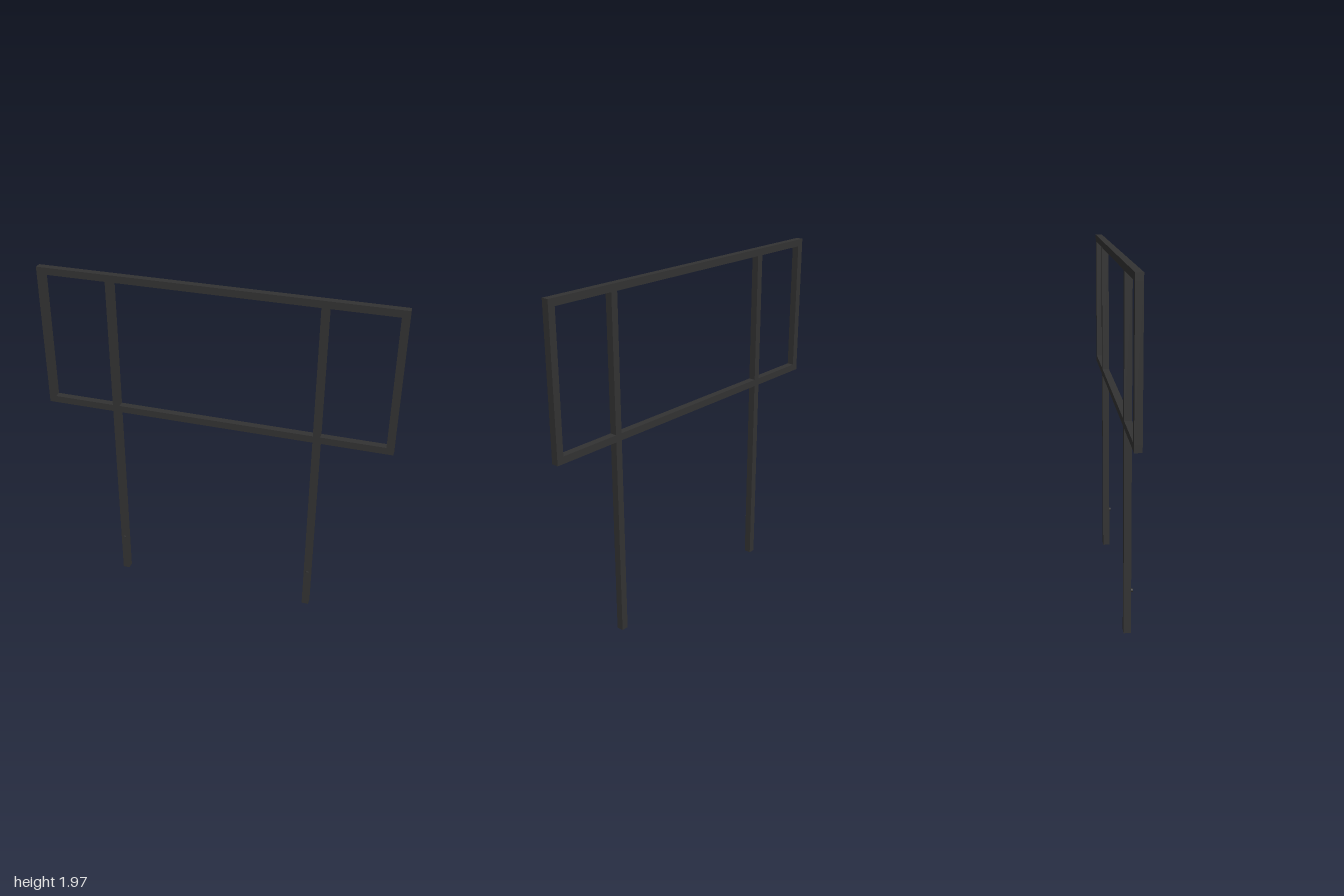
import * as THREE from 'three';

export function createModel() {
  const model = new THREE.Group();
  const steel = new THREE.MeshStandardMaterial({ color: 0x333333 });
  const T = 0.04;        // square bar thickness
  const Z = -0.005;      // centre plane of the bars
  const TOP = 1.97, BOTTOM = 1.145, POST_X = 0.583;

  function bar(name, w, h, x, y) {
    const mesh = new THREE.Mesh(new THREE.BoxGeometry(w, h, T), steel);
    mesh.name = name;
    mesh.position.set(x, y, Z);
    model.add(mesh);
  }

  // Horizontal rails of the sign frame
  bar('topRail', 2, T, 0, TOP - T / 2);
  bar('bottomRail', 2, T, 0, BOTTOM + T / 2);

  for (const [side, s] of [['left', 1], ['right', -1]]) {
    // Frame end between the rails
    bar(side + 'FrameEnd', T, TOP - BOTTOM - 2 * T, s * (1 - T / 2), (TOP + BOTTOM) / 2);

    // Post, interrupted by the bottom rail
    bar(side + 'LowerPost', T, BOTTOM, s * POST_X, BOTTOM / 2);
    bar(side + 'UpperPost', T, TOP - BOTTOM - 2 * T, s * POST_X, (TOP + BOTTOM) / 2);

    // Small bolt on the front of the post
    const bolt = new THREE.Mesh(new THREE.CylinderGeometry(0.01, 0.01, 0.012, 16), steel);
    bolt.name = side + 'Bolt';
    bolt.rotation.x = Math.PI / 2;
    bolt.position.set(s * POST_X, 0.243, 0.019);
    model.add(bolt);
  }
  return model;
}
